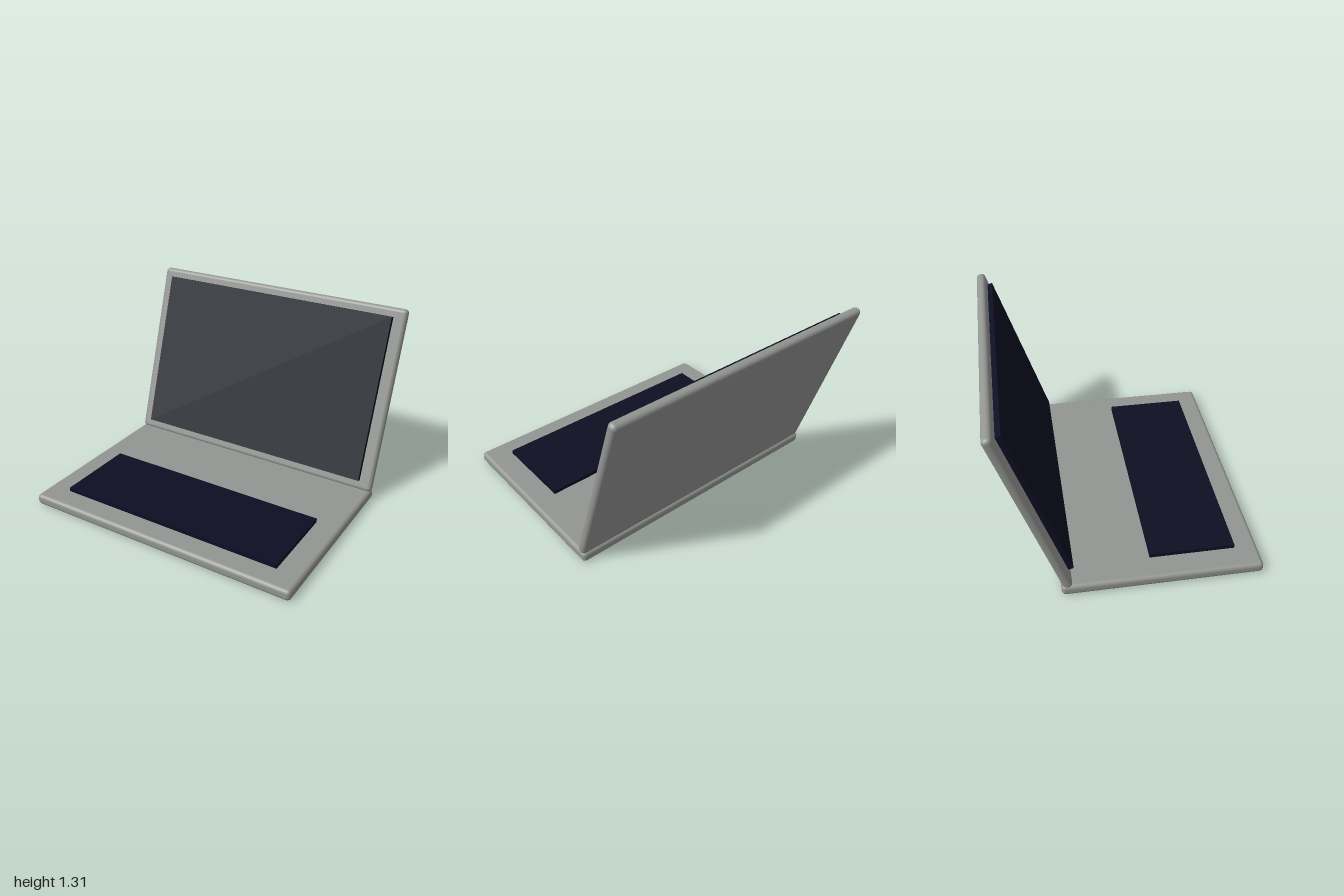
import * as THREE from 'three';
import { RoundedBoxGeometry } from 'three/addons/geometries/RoundedBoxGeometry.js';

export function createModel() {
  const model = new THREE.Group();
  model.name = 'laptop';

  const casing = new THREE.MeshStandardMaterial({ color: 0x939592 });
  casing.name = 'grey casing';
  const panel = new THREE.MeshStandardMaterial({ color: 0x0e0e23 });
  panel.name = 'dark navy panel';

  const add = (parent, name, geometry, material, x, y, z) => {
    const mesh = new THREE.Mesh(geometry, material);
    mesh.name = name;
    mesh.position.set(x, y, z);
    parent.add(mesh);
    return mesh;
  };

  // Lower half: rounded slab with a raised key panel
  add(model, 'base', new RoundedBoxGeometry(2, 0.077, 1.33, 4, 0.028), casing, 0, 0.0385, 0.19);
  add(model, 'keyboard', new THREE.BoxGeometry(1.66, 0.03, 0.575), panel, 0, 0.089, 0.41);

  // Upper half: leans back from the hinge, screen standing proud of its front
  const lid = new THREE.Group();
  lid.name = 'lid';
  lid.position.set(0, 0.688, -0.631);
  lid.rotation.x = -Math.PI / 10;
  model.add(lid);
  add(lid, 'lidShell', new RoundedBoxGeometry(2, 1.313, 0.064, 4, 0.028), casing, 0, 0, 0);
  add(lid, 'screen', new THREE.BoxGeometry(1.82, 1.175, 0.04), panel, 0, 0.003, 0.047);

  return model;
}
